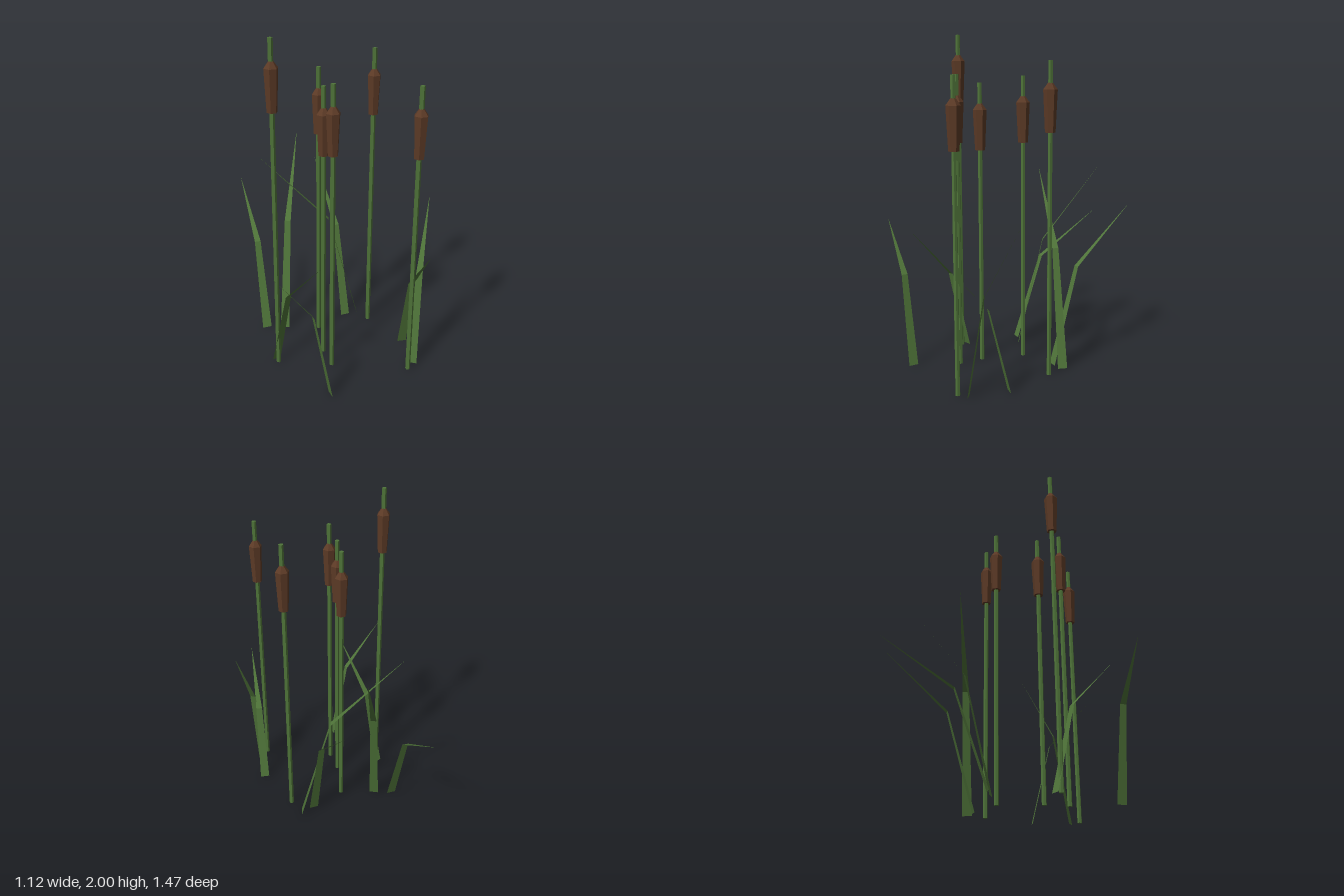
import * as THREE from 'three';

const green = new THREE.MeshStandardMaterial({ color: 0x4f7439, flatShading: true, side: THREE.DoubleSide });
green.name = 'reed green';
const brown = new THREE.MeshStandardMaterial({ color: 0x5c3a26, flatShading: true });
brown.name = 'seed brown';

// Stalks: x, z, height
const STALKS = [
  [-0.02, 0, 1.755], [0.325, 0.02, 1.84], [-0.385, 0.255, 2],
  [-0.09, 0.255, 1.715], [-0.093, 0.403, 1.765], [0.32, 0.612, 1.765],
];

// Leaves: base x, z; tip x, y, z; height of the bend
const LEAVES = [
  [-0.337, -0.126, -0.308, 0.83, -0.736, 0.545],
  [-0.228, -0.083, 0.03, 1.19, -0.53, 0.705],
  [0.293, -0.098, -0.31, 1.145, -0.287, 0.705],
  [0.203, -0.08, 0.198, 0.95, -0.638, 0.6],
  [-0.385, 0.22, -0.253, 0.82, 0.638, 0.505],
  [0.419, 0.339, 0.359, 0.81, 0.735, 0.495],
  [0.37, 0.571, 0.563, 0.985, 0.333, 0.575],
  [-0.207, 0.666, -0.557, 0.86, 0.678, 0.55],
];

function cattail([x, z, height]) {
  const group = new THREE.Group();
  group.name = 'cattail';
  const stalk = new THREE.Mesh(new THREE.CylinderGeometry(0.0145, 0.0145, height, 6), green);
  stalk.name = 'stalk';
  stalk.position.y = height / 2;
  // Seed head widens upward and closes in a short cone
  const profile = [[0, 0], [0.03, 0], [0.041, 0.24], [0.012, 0.28], [0, 0.28]];
  const head = new THREE.Mesh(
    new THREE.LatheGeometry(profile.map(([r, y]) => new THREE.Vector2(r, y)), 6, Math.PI / 6), brown);
  head.name = 'seedHead';
  head.position.y = height - 0.4;
  group.add(stalk, head);
  group.position.set(x, 0, z);
  return group;
}

// Flat blade: a tapering lower part that bends outward into a pointed tip
function leaf([bx, bz, tx, ty, tz, bendY]) {
  const dx = tx - bx, dz = tz - bz, length = Math.hypot(dx, dz);
  const sideX = -dz / length, sideZ = dx / length;
  const rows = [[0, 0, 0.029], [0.305, bendY, 0.0195], [1, ty, 0.0005]];
  const points = [];
  for (const [t, y, half] of rows) {
    for (const s of [1, -1]) {
      points.push(bx + dx * t + sideX * half * s, y, bz + dz * t + sideZ * half * s);
    }
  }
  const geometry = new THREE.BufferGeometry();
  geometry.setAttribute('position', new THREE.Float32BufferAttribute(points, 3));
  geometry.setIndex([0, 1, 3, 0, 3, 2, 2, 3, 5, 2, 5, 4]);
  const flat = geometry.toNonIndexed();
  flat.computeVertexNormals();
  const mesh = new THREE.Mesh(flat, green);
  mesh.name = 'leaf';
  return mesh;
}

export function createModel() {
  const model = new THREE.Group();
  model.name = 'cattails';
  for (const s of STALKS) model.add(cattail(s));
  for (const l of LEAVES) model.add(leaf(l));
  return model;
}
